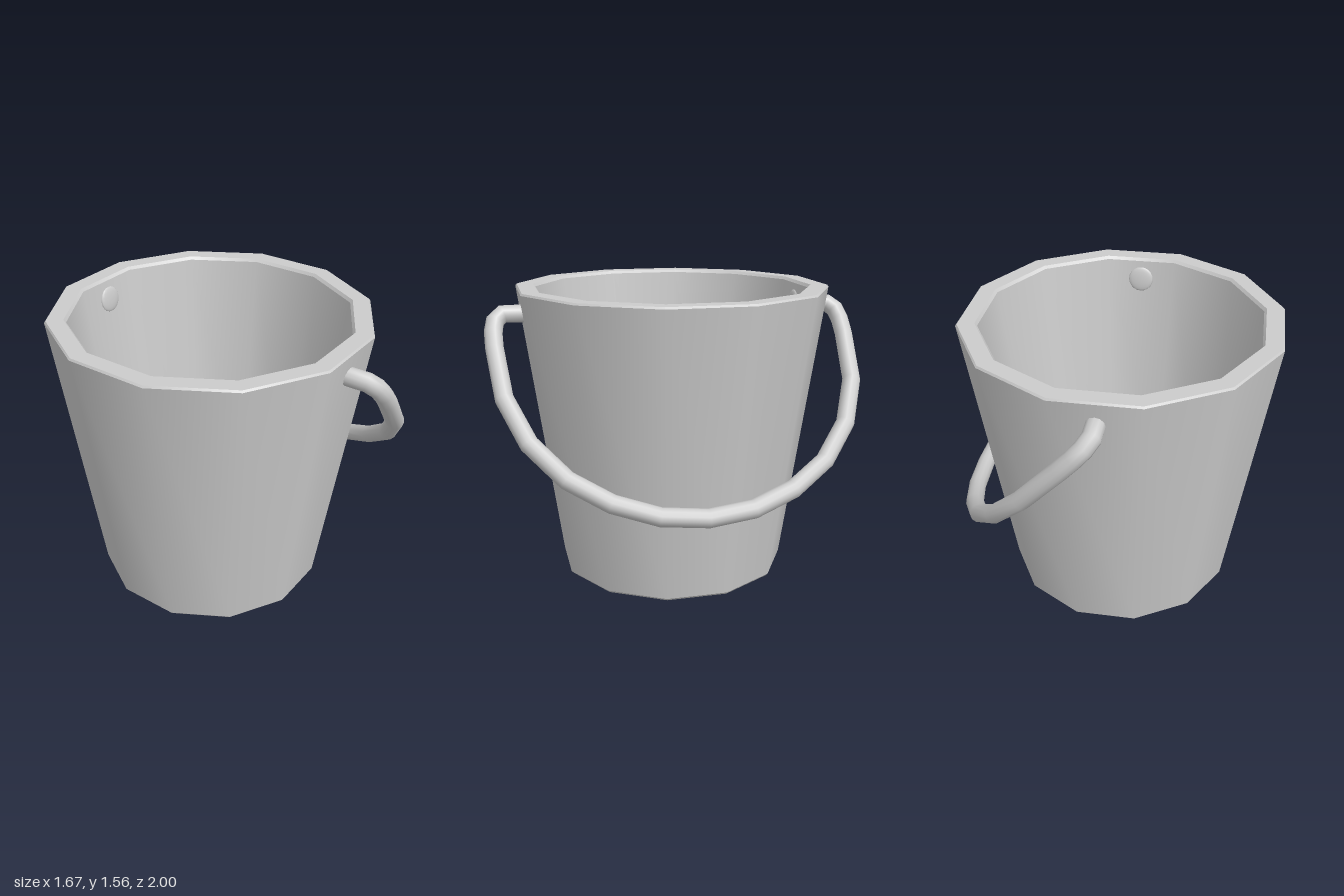
import * as THREE from 'three';

const CX = -0.02; // bucket axis
const SIDES = 12;

export function createModel() {
  const group = new THREE.Group();
  const material = new THREE.MeshStandardMaterial({ color: 0xcccccc });
  const add = (name, geometry) => {
    const mesh = new THREE.Mesh(geometry, material);
    mesh.name = name;
    group.add(mesh);
    return mesh;
  };

  // Bucket: twelve-sided lathe, flats facing the axes; [apothem, height] pairs
  const profile = [
    [0, 0], [0.595, 0], [0.605, 0.012], [0.815, 1.55], [0.808, 1.56],
    [0.722, 1.56], [0.71, 1.545], [0.543, 0.25], [0, 0.25],
  ];
  const toRadius = 1 / Math.cos(Math.PI / SIDES);
  const points = [];
  profile.forEach(([a, y], i) => {
    const p = new THREE.Vector2(a * toRadius, y);
    points.push(p);
    // doubled points keep the corners sharp
    if (i > 0 && i < profile.length - 1) points.push(p.clone());
  });
  add('bucket', new THREE.LatheGeometry(points, SIDES, Math.PI / SIDES)).position.x = CX;

  // Handle: half-loop mirrored in z, tilted down towards +x; [z, drop along tilt]
  const half = [
    [0.72, 0], [0.9, 0], [0.94, 0.035], [0.953, 0.09], [0.953, 0.17], [0.925, 0.41],
    [0.825, 0.62], [0.66, 0.79], [0.46, 0.905], [0.235, 0.977], [0, 1],
  ];
  const loop = [...half, ...half.slice(0, -1).reverse().map(([z, t]) => [-z, t])];
  const curve = new THREE.CatmullRomCurve3(
    loop.map(([z, t]) => new THREE.Vector3(CX + 0.81 * t, 1.43 - 0.9 * t, z)));
  // place one ring exactly on each node
  curve.getPointAt = (u, target) => curve.getPoint(u, target);
  curve.getTangentAt = (u, target) => curve.getTangent(u, target);
  add('handle', new THREE.TubeGeometry(curve, loop.length - 1, 0.048, 12));

  // Rivet heads: shallow domes on the inner wall
  for (const side of [1, -1]) {
    const rivet = add('handleRivet', new THREE.SphereGeometry(0.07, 16, 10));
    rivet.scale.z = 0.2;
    rivet.position.set(CX, 1.44, side * 0.697);
    rivet.rotation.x = side * 0.13;
  }
  return group;
}
